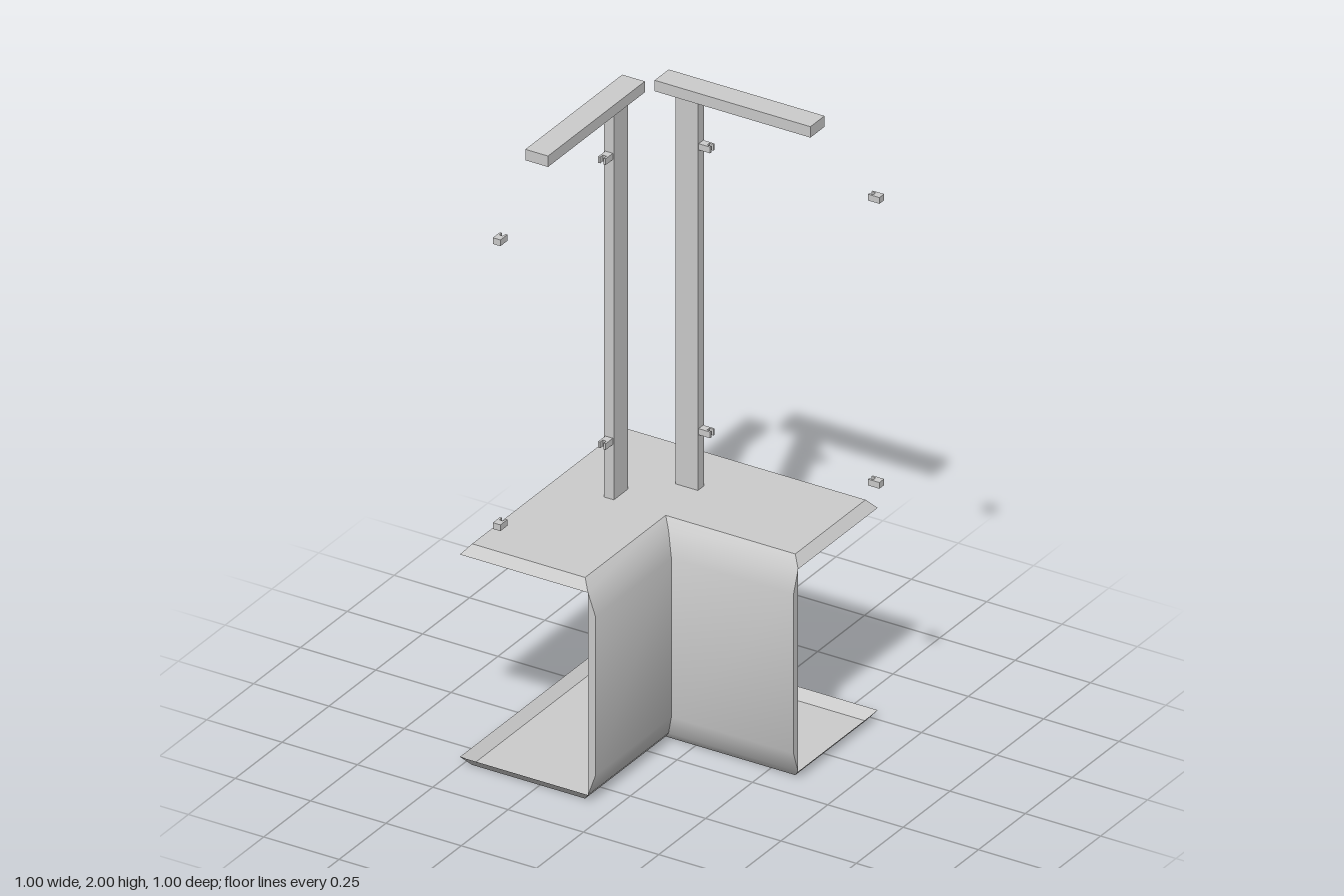
import * as THREE from 'three';
import { toCreasedNormals } from 'three/addons/utils/BufferGeometryUtils.js';

const grey = new THREE.MeshStandardMaterial({ color: 0xcccccc });
const sheet = new THREE.MeshStandardMaterial({ color: 0xcccccc, side: THREE.DoubleSide });

function add(parent, name, geometry, material = grey) {
  const mesh = new THREE.Mesh(geometry, material);
  mesh.name = name;
  parent.add(mesh);
  return mesh;
}

// Surface between two rows of points
function strip(a, b) {
  const pos = [];
  for (let i = 0; i < a.length - 1; i++) {
    for (const p of [a[i], b[i], b[i + 1], a[i], b[i + 1], a[i + 1]]) pos.push(...p);
  }
  const geo = new THREE.BufferGeometry();
  geo.setAttribute('position', new THREE.Float32BufferAttribute(pos, 3));
  geo.computeVertexNormals();
  return toCreasedNormals(geo, 0.6);
}

// Flat L-shaped plate, facing up or down
function plate(outline, y, up) {
  const s = up ? -1 : 1;
  const shape = new THREE.Shape(outline.map(([x, z]) => new THREE.Vector2(x, s * z)));
  return new THREE.ShapeGeometry(shape).rotateX(s * Math.PI / 2).translate(0, y, 0);
}

// Box along one arm; swapping x and z gives the other arm
function armBox([u0, u1], [y0, y1], [v0, v1], swap) {
  const du = u1 - u0, dv = v1 - v0, u = (u0 + u1) / 2, v = (v0 + v1) / 2;
  return new THREE.BoxGeometry(swap ? dv : du, y1 - y0, swap ? du : dv)
    .translate(swap ? v : u, (y0 + y1) / 2, swap ? u : v);
}

// U-shaped clip with its slot open towards +x
function clipGeometry() {
  const l = 0.019, w = 0.0125, n = 0.006, d = 0.005;
  const pts = [[-l, -w], [l, -w], [l, -n], [d, -n], [d, n], [l, n], [l, w], [-l, w]];
  const shape = new THREE.Shape(pts.map(([x, y]) => new THREE.Vector2(x, y)));
  return new THREE.ExtrudeGeometry(shape, { depth: 0.02, bevelEnabled: false })
    .translate(0, 0, -0.01).rotateX(Math.PI / 2);
}

export function createModel() {
  const model = new THREE.Group();
  const H = 0.71;

  // Folded base: two L-shaped plates with bent rims
  const base = new THREE.Group();
  base.name = 'base';
  model.add(base);
  const inner = [[0.33, -0.1], [0.33, -0.475], [-0.475, -0.475], [-0.475, 0.33], [-0.1, 0.33]];
  const outer = [[0.355, -0.075], [0.355, -0.5], [-0.5, -0.5], [-0.5, 0.355], [-0.075, 0.355]];
  const at = (path, y) => path.map(([x, z]) => [x, y, z]);
  const outline = [...inner, [-0.1, -0.1]];
  add(base, 'topPlate', plate(outline, H, true), sheet);
  add(base, 'bottomPlate', plate(outline, 0, false), sheet);
  add(base, 'topRim', strip(at(inner, H), at(outer, H - 0.03)), sheet);
  add(base, 'bottomRim', strip(at(outer, 0.03), at(inner, 0)), sheet);

  // Walls along the inner corner: [offset, height, end of arm]
  const profile = [
    [-0.1, H, 0.33], [-0.075, H - 0.03, 0.355], [-0.05, H - 0.1, 0.355],
    [-0.05, 0.1, 0.355], [-0.075, 0.03, 0.355], [-0.1, 0, 0.33],
  ];
  const corner = profile.map(([o, y]) => [o, y, o]);
  const endX = profile.map(([o, y, e]) => [e, y, o]);
  const endZ = profile.map(([o, y, e]) => [o, y, e]);
  add(base, 'frontWall', strip(endX, corner), sheet);
  add(base, 'sideWall', strip(corner, endZ), sheet);
  add(base, 'frontWallEnd', strip([endX[1], endX[4]], [endX[2], endX[3]]), sheet);
  add(base, 'sideWallEnd', strip([endZ[2], endZ[3]], [endZ[1], endZ[4]]), sheet);

  // A post, a top bar and four panel clips for each arm
  const clip = clipGeometry();
  for (const swap of [false, true]) {
    const arm = new THREE.Group();
    arm.name = swap ? 'sideStand' : 'backStand';
    model.add(arm);
    add(arm, 'post', armBox([-0.175, -0.1], [H, 1.965], [-0.305, -0.272], swap));
    add(arm, 'topBar', armBox([-0.23, 0.287], [1.965, 2], [-0.325, -0.25], swap));
    for (const y of [0.897, 1.812]) {
      for (const far of [false, true]) {
        const u = far ? 0.481 : -0.081, v = -0.288;
        const mesh = add(arm, far ? 'outerClip' : 'postClip', clip);
        mesh.position.set(swap ? v : u, y, swap ? u : v);
        mesh.rotation.y = (far ? Math.PI : 0) - (swap ? Math.PI / 2 : 0);
      }
    }
  }
  return model;
}
